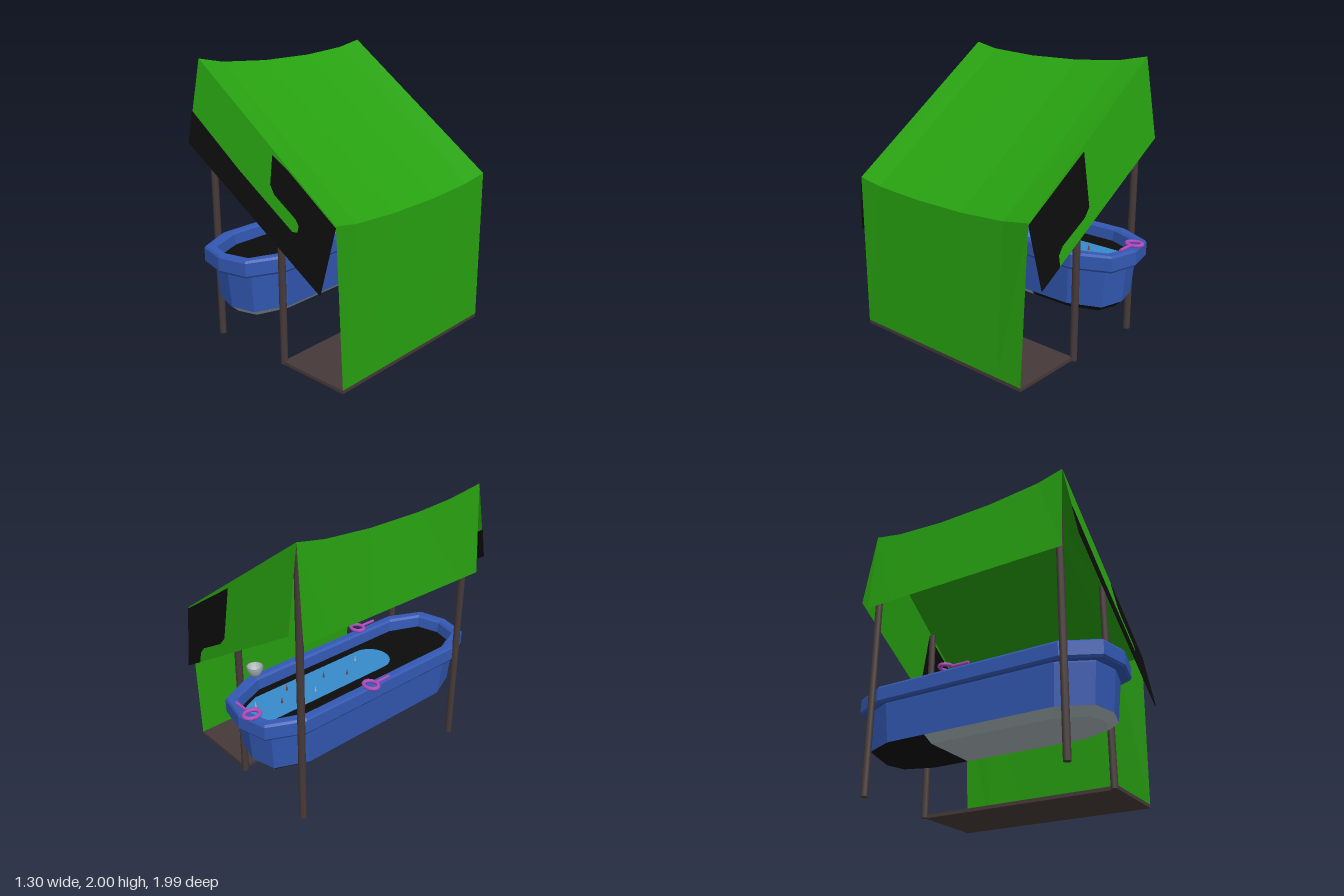
import * as THREE from 'three';

const mat = (name, color, side = THREE.FrontSide) => {
  const m = new THREE.MeshStandardMaterial({ color, side });
  m.name = name;
  return m;
};

export function createModel() {
  const group = new THREE.Group();
  const green = mat('canvas green', 0x27a010, THREE.DoubleSide);
  const black = mat('black', 0x0c0c0c, THREE.DoubleSide);
  const blue = mat('tub blue', 0x3359b4);
  const brown = mat('post brown', 0x463a39);
  const water = mat('water blue', 0x378acb);
  const purple = mat('net purple', 0xb14cc2);
  const grey = mat('pale grey', 0xa9b6ba, THREE.DoubleSide);
  const red = mat('float red', 0x8a3a34);

  const add = (name, geometry, material, x = 0, y = 0, z = 0, parent = group) => {
    const m = new THREE.Mesh(geometry, material);
    m.name = name;
    m.position.set(x, y, z);
    parent.add(m);
    return m;
  };

  // Joins rows of points into a flat-shaded skin
  const skin = (rows, closed) => {
    const pos = [];
    for (let i = 0; i + 1 < rows.length; i++) {
      const n = rows[i].length;
      for (let k = 0; k < (closed ? n : n - 1); k++) {
        const a = rows[i][k], b = rows[i][(k + 1) % n];
        const c = rows[i + 1][k], d = rows[i + 1][(k + 1) % n];
        pos.push(...a, ...c, ...b, ...b, ...c, ...d);
      }
    }
    const g = new THREE.BufferGeometry();
    g.setAttribute('position', new THREE.Float32BufferAttribute(pos, 3));
    g.computeVertexNormals();
    return g;
  };

  // Sagging canvas: roof, rear wall and counter-side valance
  const zs = [0.79, 0.6, 0.22, -0.2, -0.56, -0.77];
  const sag = [0, 0.6, 1, 1, 0.6, 0];
  const high = zs.map((z, i) => [-0.605 + 0.01 * sag[i], 2 - 0.065 * sag[i], z]);
  const low = zs.map((z, i) => [0.63 - 0.015 * sag[i], 1.13 - 0.06 * sag[i], z]);
  const foot = zs.map((z) => [0.65, 0.02, 0.01 + (z - 0.01) * 0.955]);
  const hem = zs.map((z) => [-0.65, 1.37, z]);
  add('roof', skin([high, low]), green);
  add('wall', skin([low, foot]), green);
  add('valance', skin([high, hem]), green);

  // Slanted side flaps with black painted areas
  const flapZ = (x, y) => 0.095 * Math.max(0, (2 - 0.705 * (x + 0.605) - y) / 0.5);
  const shape = (pts) => new THREE.Shape(pts.map((p) => new THREE.Vector2(...p)));
  const lean = (g, z0, dir, spread) => {
    const p = g.attributes.position;
    for (let i = 0; i < p.count; i++) {
      p.setZ(i, z0 + p.getZ(i) + dir * spread * flapZ(p.getX(i), p.getY(i)));
    }
    g.computeVertexNormals();
    return g;
  };
  const outline = [[-0.62, 1.45], [0.58, 0.7], [0.63, 1.13], [-0.605, 2]];
  const frontPaint = [[-0.617, 1.66], [-0.15, 1.335], [0.32, 1.035], [0.36, 1.04], [0.365, 1.08],
    [0.33, 1.12], [0.15, 1.235], [0.11, 1.29], [0.1, 1.47], [0.24, 1.39], [0.63, 1.12],
    [0.58, 0.7], [-0.62, 1.45]];
  const backPaint = [[0.1, 1.47], [0.63, 1.12], [0.58, 0.7], [0.41, 0.806], [0.41, 0.88],
    [0.37, 0.93], [0.15, 1.06], [0.1, 1.12]];
  [['front', 0.79, 1, 1, frontPaint], ['back', -0.77, -1, 0.8, backPaint]].forEach(
    ([side, z, dir, spread, paint]) => {
      add(side + 'Flap', lean(new THREE.ShapeGeometry(shape(outline)), z, dir, spread), green);
      const plate = new THREE.ExtrudeGeometry(shape(paint), { depth: 0.006, bevelEnabled: false });
      add(side + 'FlapPaint', lean(plate.translate(0, 0, -0.003), z, dir, spread), black);
    });

  // Posts and floor
  for (const z of [0.735, -0.735]) {
    for (const [x, h] of [[-0.57, 1.92], [0.09, 1.46]]) {
      add('post', new THREE.CylinderGeometry(0.025, 0.025, h, 10), brown, x, h / 2, z);
    }
  }
  add('floor', new THREE.BoxGeometry(0.55, 0.025, 1.49), brown, 0.375, 0.0125, 0.01);

  // Long tub: stacked outlines, each given as half width, half length, height
  const tub = new THREE.Group();
  tub.name = 'tub';
  tub.position.set(-0.24, 0, 0.005);
  group.add(tub);
  const full = [[1, 0.7], [0.64, 0.95], [0, 1], [-0.64, 0.95], [-1, 0.7],
    [-1, -0.7], [-0.64, -0.95], [0, -1], [0.64, -0.95], [1, -0.7]];
  const ring = (pts, [w, l, y]) => pts.map(([x, z]) => [x * w, y, z * l]);
  const stack = (pts, rings) => skin(rings.map((r) => ring(pts, r)), true);
  add('tubBody', stack(full, [[0.273, 0.895, 0.37], [0.292, 0.92, 0.64], [0.292, 0.92, 0.65]]),
    blue, 0, 0, 0, tub);
  add('tubRim', stack(full, [[0.29, 0.92, 0.65], [0.32, 0.98, 0.65], [0.33, 0.99, 0.665],
    [0.33, 0.99, 0.755], [0.32, 0.98, 0.77], [0.275, 0.93, 0.77], [0.262, 0.915, 0.755],
    [0.255, 0.9, 0.66]]), blue, 0, 0, 0, tub);

  // Underside in two colours
  const cut = -0.36;
  const under = [[0, 0.84, 0.32], [0.215, 0.84, 0.32], [0.273, 0.895, 0.37]];
  add('undersideFront', stack([...full.slice(0, 5), [-1, cut], [1, cut]], under), grey, 0, 0, 0, tub);
  add('undersideBack', stack([[1, cut], [-1, cut], ...full.slice(5)], under), black, 0, 0, 0, tub);

  // Dark pool with a lighter strip of water
  add('pool', stack(full, [[0.26, 0.91, 0.68], [0, 0.91, 0.68]]), black, 0, 0, 0, tub);
  const strip = new THREE.Shape();
  strip.moveTo(-0.1, 0.87);
  strip.lineTo(0.12, 0.87);
  strip.lineTo(0.19, 0.72);
  strip.lineTo(0.19, -0.22);
  strip.absarc(0.045, -0.22, 0.145, 0, -Math.PI, true);
  strip.lineTo(-0.1, 0.87);
  add('waterStrip', new THREE.ShapeGeometry(strip, 8).rotateX(-Math.PI / 2), water, 0, 0.685, 0, tub);

  // Small floats on the water
  [[0.1, -0.78], [0.02, -0.62], [0.12, -0.5], [-0.02, -0.36], [0.08, -0.2], [0, -0.05], [0.1, 0.12]]
    .forEach(([x, z], i) => {
      add('float', new THREE.ConeGeometry(0.01, 0.05, 5), i % 3 ? red : grey, x, 0.705, z, tub);
    });

  // Hoop nets resting on the rim, handle running along local +x
  [[-0.31, -0.925, 0], [-0.56, -0.12, -Math.PI / 2], [0.09, 0.36, -Math.PI / 2]].forEach(([x, z, turn]) => {
    const net = new THREE.Group();
    net.name = 'hoopNet';
    net.position.set(x, 0.782, z);
    net.rotation.y = turn;
    group.add(net);
    add('hoop', new THREE.TorusGeometry(0.045, 0.013, 6, 12).rotateX(Math.PI / 2).scale(1, 1, 1.25),
      purple, 0, 0, 0, net);
    add('handle', new THREE.CylinderGeometry(0.011, 0.011, 0.13, 6).rotateZ(Math.PI / 2),
      purple, 0.105, 0, 0, net);
  });

  // Bowl on the rim
  const bowl = [[0, 0.77], [0.03, 0.77], [0.05, 0.8], [0.06, 0.84], [0.052, 0.84], [0.04, 0.8], [0, 0.785]];
  add('bowl', new THREE.LatheGeometry(bowl.map((p) => new THREE.Vector2(...p)), 14), grey, 0.07, 0, -0.62);

  return group;
}
